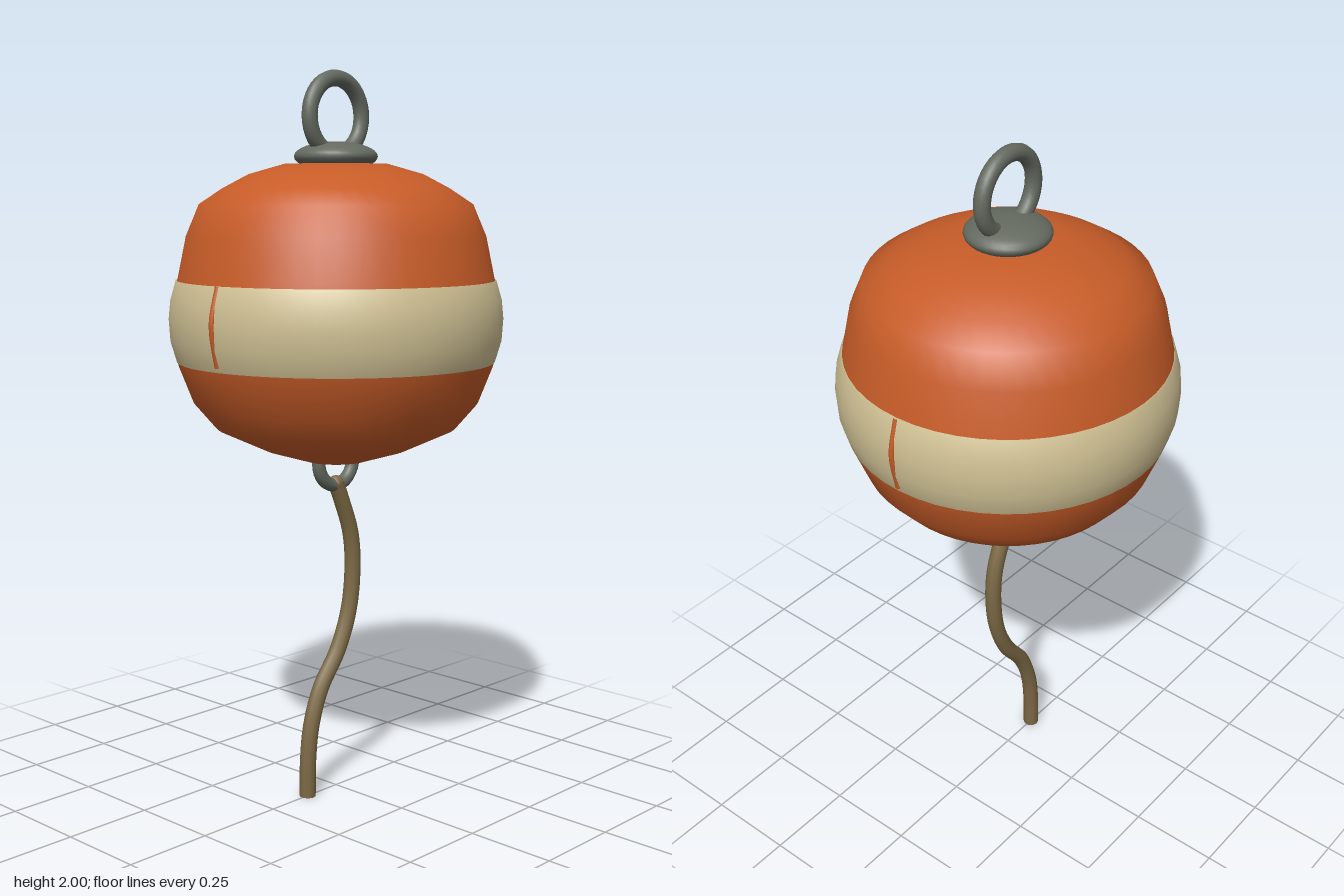
import * as THREE from 'three';

const material = (color) => new THREE.MeshStandardMaterial({ color });

export function createModel() {
  const model = new THREE.Group();
  model.name = 'buoy';
  const orange = material(0xc75c28);
  const cream = material(0xd0c194);
  const metal = material(0x646a60);
  const hemp = material(0x7d6a45);

  const add = (name, geometry, mat, x = 0, y = 0, z = 0) => {
    const mesh = new THREE.Mesh(geometry, mat);
    mesh.name = name;
    mesh.position.set(x, y, z);
    model.add(mesh);
    return mesh;
  };
  const lathe = (pts) => new THREE.LatheGeometry(pts.map(([r, y]) => new THREE.Vector2(r, y)), 48);
  const curve = (pts) => new THREE.CatmullRomCurve3(pts.map(([x, y]) => new THREE.Vector3(x, y, 0)));

  // Float: squat rounded hull, listed from bottom to top
  add('float', lathe([
    [0, 0.943], [0.085, 0.945], [0.2, 0.98], [0.33, 1.04], [0.39, 1.11], [0.429, 1.21],
    [0.447, 1.28], [0.45, 1.34], [0.445, 1.39], [0.429, 1.45], [0.406, 1.56], [0.37, 1.645],
    [0.307, 1.687], [0.235, 1.725], [0.14, 1.752], [0, 1.755],
  ]), orange);

  // Pale band wrapped around the widest part
  add('band', lathe([
    [0.428, 1.222], [0.434, 1.222], [0.451, 1.28], [0.455, 1.34], [0.45, 1.39], [0.435, 1.442], [0.428, 1.442],
  ]), cream);

  // Short raised seam on each side of the band
  for (const side of [1, -1]) {
    const path = curve([[0.431 * side, 1.44], [0.452 * side, 1.36], [0.452 * side, 1.32], [0.435 * side, 1.235]]);
    add(side > 0 ? 'leftSeam' : 'rightSeam', new THREE.TubeGeometry(path, 16, 0.008, 8), orange);
  }

  // Top fitting and lifting ring
  add('topCap', new THREE.SphereGeometry(0.113, 32, 16), metal, 0, 1.772, 0).scale.y = 0.35;
  add('liftingRing', new THREE.TorusGeometry(0.1, 0.022, 12, 40), metal, 0, 1.878, 0);

  // Mooring ring half sunk in the bottom
  add('mooringRing', new THREE.TorusGeometry(0.068, 0.019, 12, 32), metal, 0, 0.942, 0);

  // Hanging rope with closed ends
  const ropePath = curve([
    [0, 0.88], [0.022, 0.83], [0.059, 0.73], [0.068, 0.63], [0.053, 0.51], [0.008, 0.4],
    [-0.063, 0.3], [-0.1, 0.2], [-0.113, 0.1], [-0.115, 0],
  ]);
  add('rope', new THREE.TubeGeometry(ropePath, 60, 0.023, 10), hemp);
  add('ropeLowerEnd', new THREE.CircleGeometry(0.023, 10), hemp, -0.115, 0, 0).rotation.x = Math.PI / 2;
  add('ropeUpperEnd', new THREE.SphereGeometry(0.023, 10, 8), hemp, 0, 0.878, 0);

  return model;
}
